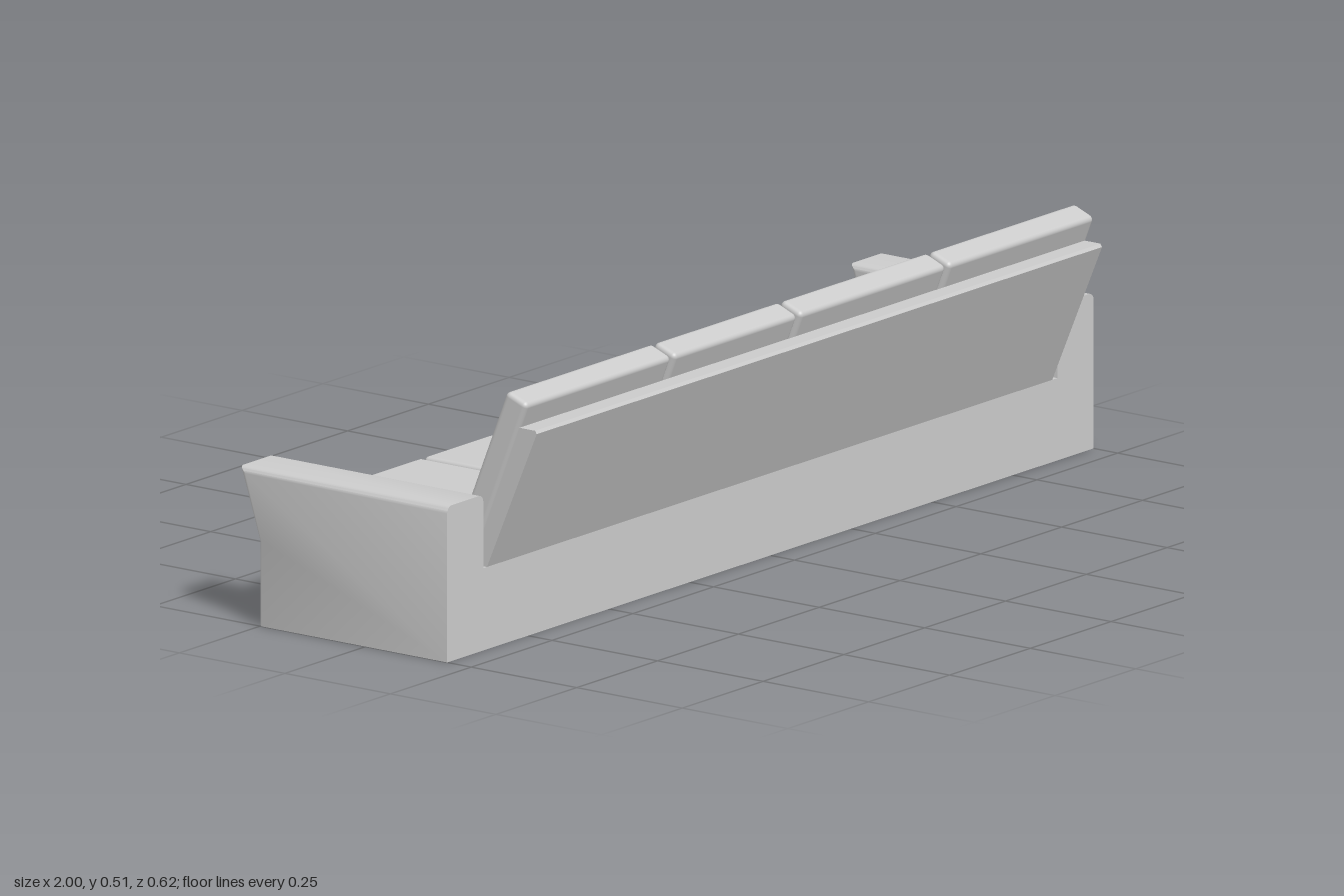
import * as THREE from 'three';
import { toCreasedNormals } from 'three/addons/utils/BufferGeometryUtils.js';
import { RoundedBoxGeometry } from 'three/addons/geometries/RoundedBoxGeometry.js';

const BACK = 0.193, FRONT = -0.256; // the seat faces -z

export function createModel() {
  const sofa = new THREE.Group();
  sofa.name = 'sofa';
  const material = new THREE.MeshStandardMaterial({ color: 0xcccccc });

  const add = (name, geometry, x = 0, y = 0, z = 0) => {
    const mesh = new THREE.Mesh(geometry, material);
    mesh.name = name;
    mesh.position.set(x, y, z);
    sofa.add(mesh);
    return mesh;
  };

  // Extrudes a side profile of [z, y] points across x, centred on x = 0
  const profile = (points, width, radius = 0) => {
    const shape = new THREE.Shape(points.map(([z, y]) => new THREE.Vector2(z, y)));
    const depth = width - 2 * radius;
    return new THREE.ExtrudeGeometry(shape, {
      depth, bevelEnabled: radius > 0, bevelSize: radius, bevelThickness: radius,
      bevelOffset: -radius, bevelSegments: 4,
    }).translate(0, 0, -depth / 2).rotateY(-Math.PI / 2);
  };

  // Base between the arms
  add('base', new THREE.BoxGeometry(1.78, 0.16, BACK - FRONT), 0, 0.08, (BACK + FRONT) / 2);

  // Arms: soft top and front edges, flat back and underside
  const armWidth = 0.112;
  const armGeometry = profile(
    [[BACK + 0.03, -0.03], [BACK + 0.03, 0.303], [-0.301, 0.303], [FRONT, 0.163], [FRONT, -0.03]],
    armWidth, 0.014);
  const p = armGeometry.attributes.position;
  for (let i = 0; i < p.count; i++) {
    p.setY(i, Math.max(p.getY(i), 0));
    p.setZ(i, Math.min(p.getZ(i), BACK));
  }
  const arm = toCreasedNormals(armGeometry, 0.6);
  for (const [side, name] of [[1, 'leftArm'], [-1, 'rightArm']]) {
    add(name, arm, side * (1 - armWidth / 2));
  }

  // Leaning back panel, sunk into the base
  add('backPanel', profile(
    [[0.174, 0.115], [BACK, 0.16], [0.311, 0.437], [0.307, 0.443], [0.27, 0.443], [0.139, 0.115]],
    1.749), -0.0025);

  // Four seat cushions with matching back cushions
  const lean = Math.atan(0.4);
  const seams = [-0.882, -0.422, -0.032, 0.428, 0.887];
  for (let i = 0; i < 4; i++) {
    const width = seams[i + 1] - seams[i] - 0.01;
    const x = (seams[i] + seams[i + 1]) / 2;
    add('seatCushion' + (i + 1), new RoundedBoxGeometry(width, 0.056, 0.475, 3, 0.009), x, 0.171, -0.0725);
    const back = add('backCushion' + (i + 1),
      new RoundedBoxGeometry(width, 0.34, 0.053, 3, 0.01), x, 0.342, 0.2);
    back.rotation.x = lean;
  }
  return sofa;
}
